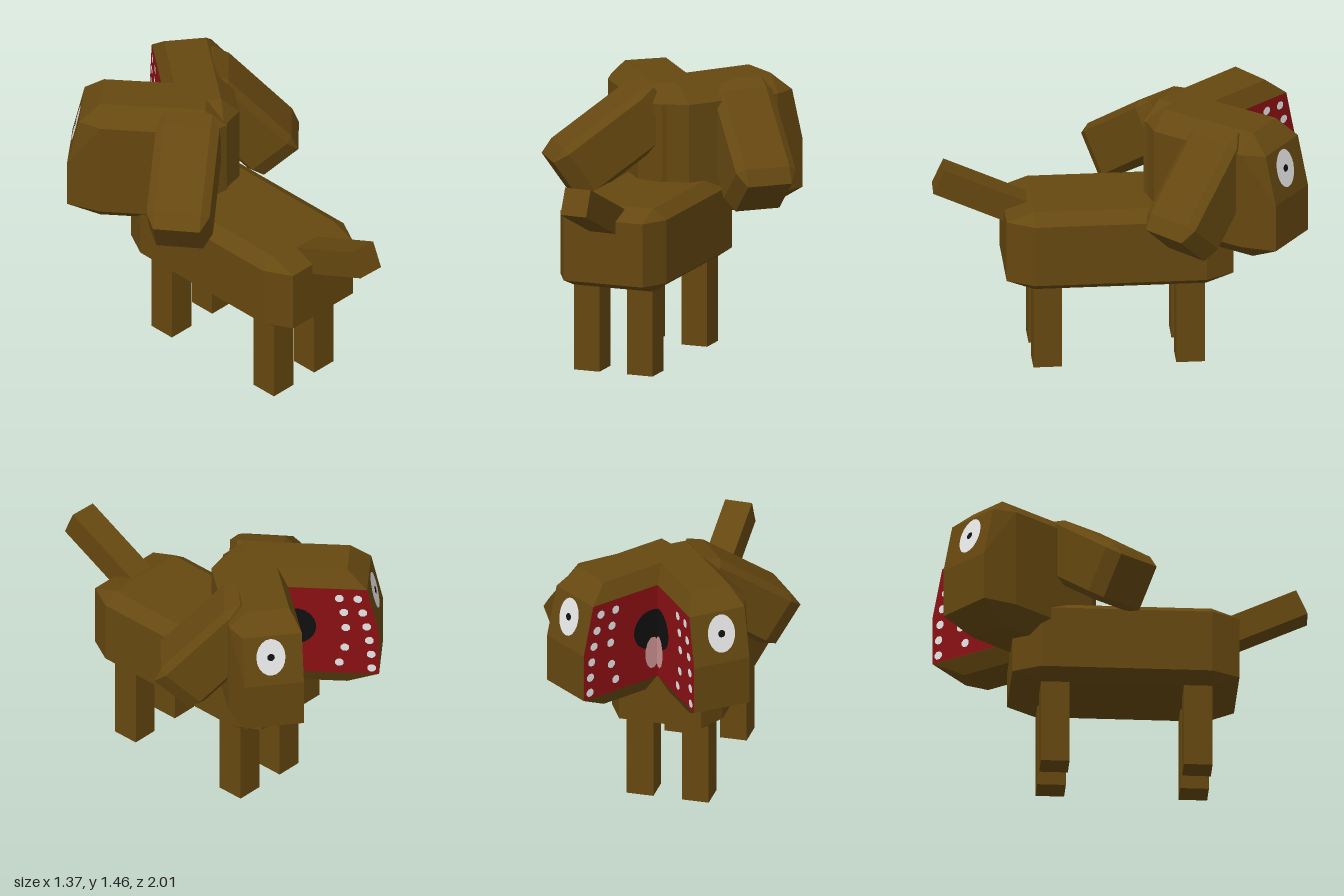
import * as THREE from 'three';
import { ConvexGeometry } from 'three/addons/geometries/ConvexGeometry.js';

const mat = (name, color) => {
  const m = new THREE.MeshStandardMaterial({ color });
  m.name = name;
  return m;
};
const V = (x, y, z) => new THREE.Vector3(x, y, z);

// Box of half size X,Y,Z whose faces are inset to half size x,y,z, with bevels between
function bevelBox(X, Y, Z, x, y, z) {
  const pts = [];
  for (const a of [-1, 1]) for (const b of [-1, 1]) for (const c of [-1, 1]) {
    pts.push(V(a * X, b * y, c * z), V(a * x, b * Y, c * z), V(a * x, b * y, c * Z));
  }
  return new ConvexGeometry(pts);
}

export function createModel() {
  const fur = mat('brown fur', 0x664810);
  const red = mat('mouth red', 0x8a1013);
  const black = mat('black', 0x101010);
  const white = mat('white', 0xf2f2f2);
  const pink = mat('tongue pink', 0xd09494);

  const model = new THREE.Group();
  model.name = 'animal';
  const add = (parent, name, geometry, material, x = 0, y = 0, z = 0) => {
    const m = new THREE.Mesh(geometry, material);
    m.name = name;
    m.position.set(x, y, z);
    parent.add(m);
    return m;
  };

  // Body
  add(model, 'body', bevelBox(0.31, 0.23, 0.615, 0.23, 0.175, 0.465), fur, -0.05, 0.7, 0.005);

  // Legs
  for (const x of [-0.205, 0.105]) for (const z of [0.397, -0.378]) {
    add(model, z > 0 ? 'hindLeg' : 'foreLeg', new THREE.BoxGeometry(0.15, 0.48, 0.155), fur, x, 0.24, z);
  }

  // Tail, tilted up and slightly aside
  const tail = add(model, 'tail', new THREE.BoxGeometry(0.152, 0.152, 0.5).translate(0, 0, -0.25), fur, -0.066, 1.05, 0.97);
  tail.rotation.set(-0.42, -0.035, 0, 'YXZ');

  // One half of the head: local x points into the mouth, k * z runs out to the tip
  function headHalf(name, k, x, z, angle) {
    const half = new THREE.Group();
    half.name = name;
    half.position.set(x, 0, z);
    half.rotation.y = angle;
    model.add(half);

    const pts = [];
    const put = (lat, y, s) => pts.push(V(lat, y, k * s));
    for (const y of [0.81, 1.36]) {
      for (const lat of [-0.19, 0.19]) put(lat, y, 0.22);
      for (const lat of [-0.09, 0.09]) put(lat, y, 0.1);
      put(-0.19, y, 0.78);
    }
    for (const y of [0.72, 1.455]) for (const lat of [-0.09, 0.14]) {
      put(lat, y, 0.22);
      put(lat, y, 0.79);
    }
    for (const lat of [-0.135, 0.19]) {
      put(lat, 0.81, 0.965);
      put(lat, 1.08, 0.965);
      put(lat, 1.36, 0.9);
    }
    add(half, 'headShell', new ConvexGeometry(pts), fur);

    // Mouth lining
    const outline = [[0.4, 0.81], [0.965, 0.81], [0.965, 1.08], [0.9, 1.36], [0.4, 1.36]];
    const lining = new THREE.Shape(outline.map(([s, y]) => new THREE.Vector2(-k * s, y)));
    add(half, 'mouthLining', new THREE.ShapeGeometry(lining).rotateY(Math.PI / 2), red, 0.192);

    // Throat, tongue and teeth lie flat on the lining
    const spot = (label, s, y, rs, ry, sides, m, lift) => add(half, label,
      new THREE.CircleGeometry(1, sides, Math.PI / sides).scale(rs, ry, 1).rotateY(Math.PI / 2),
      m, 0.192 + lift, y, k * s);
    spot('throat', 0.51, 1.11, 0.115, 0.115, 20, black, 0.002);
    spot('tongue', 0.5, 0.965, 0.05, 0.095, 12, pink, 0.004);
    for (let i = 0; i < 6; i++) {
      spot('frontTooth', 0.925 - 0.003 * i * i, 0.85 + 0.09 * i, 0.025, 0.025, 8, white, 0.003);
    }
    for (const [s, y] of [[0.75, 0.88], [0.78, 0.98], [0.785, 1.11], [0.775, 1.21], [0.75, 1.3]]) {
      spot('backTooth', s, y, 0.025, 0.025, 8, white, 0.003);
    }

    // Eye on the sloping tip
    const eye = new THREE.Group();
    eye.name = 'eye';
    eye.position.set(0.015, 1.24, k * 0.928);
    eye.rotation.set(-0.228, k < 0 ? Math.PI : 0, 0, 'YXZ');
    half.add(eye);
    add(eye, 'eyeWhite', new THREE.CircleGeometry(1, 20).scale(0.08, 0.107, 1), white, 0, 0, 0.003);
    add(eye, 'pupil', new THREE.CircleGeometry(0.021, 10), black, 0, 0, 0.006);
  }
  headHalf('headRightHalf', -1, 0.115, -0.12, 0.683);
  headHalf('headLeftHalf', 1, -0.163, -0.124, 2.492);

  // Ears hang outward and down along the given direction
  function ear(name, centre, direction) {
    const d = direction.normalize();
    const w = V(0, 1, 0).cross(d).normalize();
    const t = d.clone().cross(w);
    const m = add(model, name, bevelBox(0.172, 0.16, 0.34, 0.127, 0.127, 0.25), fur, ...centre);
    m.quaternion.setFromRotationMatrix(new THREE.Matrix4().makeBasis(w, t, d));
  }
  ear('rightEar', [-0.326, 1.145, -0.159], V(-0.655, -0.57, 0.5));
  ear('leftEar', [0.366, 1.115, -0.432], V(0.47, -0.73, 0.49));

  return model;
}
